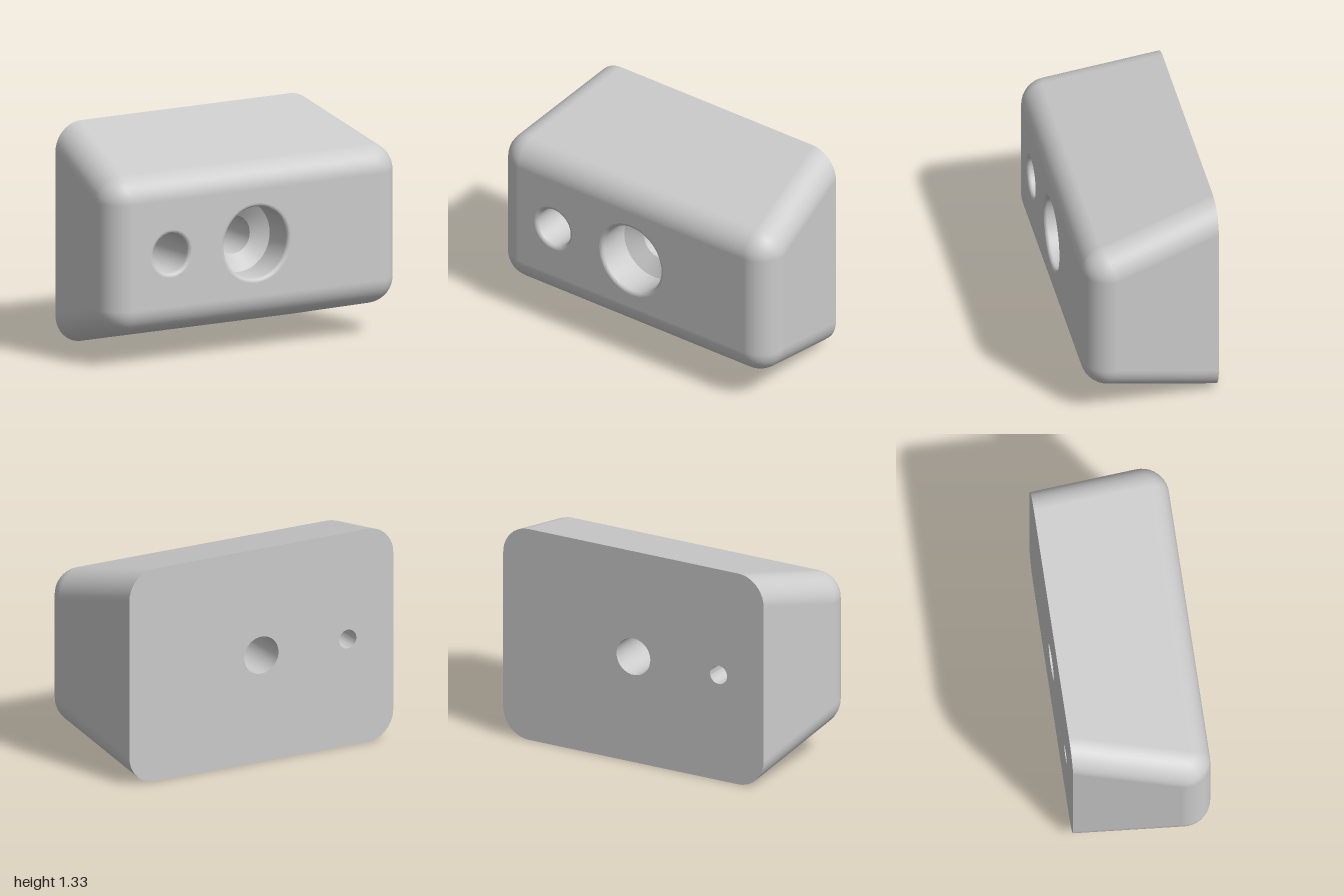
import * as THREE from 'three';
import { toCreasedNormals } from 'three/addons/utils/BufferGeometryUtils.js';

const DEPTH = 0.41;             // half depth
const MID = 0.663;              // height of the centre line
const R = 0.162;                // edge rounding radius
const CORNER = new THREE.Vector3(0.838, 0.32, DEPTH - R); // centre of the corner rounding
const deg = THREE.MathUtils.degToRad;

// x, radii of bore, counterbore and rounded mouth, depth of the counterbore and of its cone
const HOLES = [
  { name: 'largeHole', x: 0, bore: 0.115, wide: 0.215, mouth: 0.238, deep: 0.21, cone: 0.06 },
  { name: 'smallHole', x: -0.58, bore: 0.058, wide: 0.118, mouth: 0.142, deep: 0.4, cone: 0.036 },
];

function slerp(a, b, t) {
  const w = a.angleTo(b);
  if (w < 1e-6) return a.clone();
  return a.clone().multiplyScalar(Math.sin((1 - t) * w) / Math.sin(w))
    .addScaledVector(b, Math.sin(t * w) / Math.sin(w));
}

// Rings of points and normals from the front face, over the rounding, to the back edge
function makeRings() {
  const steps = 10;
  const front = new THREE.Vector3(0, 0, 1);
  const side = new THREE.Vector3(Math.cos(deg(10)), 0, -Math.sin(deg(10)));
  const top = new THREE.Vector3(0, Math.cos(deg(15)), Math.sin(deg(15)));
  const edge = side.clone().cross(top);
  const rings = [];
  for (let i = 0; i <= steps + 1; i++) {
    const ring = [];
    for (const [sx, sy] of [[1, 1], [-1, 1], [-1, -1], [1, -1]]) {
      for (let j = 0; j <= steps; j++) {
        const t = (sx * sy > 0 ? j : steps - j) / steps;
        const n = slerp(front, slerp(side, top, t), Math.min(i / steps, 1));
        const p = CORNER.clone().addScaledVector(n, R);
        if (i > steps) p.addScaledVector(edge, (-DEPTH - p.z) / edge.z);
        const mirror = new THREE.Vector3(sx, sy, 1);
        ring.push({ p: p.multiply(mirror), n: n.multiply(mirror) });
      }
    }
    rings.push(ring);
  }
  return rings;
}

function shellGeometry(rings) {
  const pos = [], nor = [], index = [];
  const count = rings[0].length;
  rings.forEach((ring, i) => ring.forEach(({ p, n }, j) => {
    pos.push(p.x, p.y, p.z);
    nor.push(n.x, n.y, n.z);
    if (i === rings.length - 1) return;
    const a = i * count + j, b = i * count + (j + 1) % count;
    index.push(a, a + count, b + count, a, b + count, b);
  }));
  const g = new THREE.BufferGeometry();
  g.setAttribute('position', new THREE.Float32BufferAttribute(pos, 3));
  g.setAttribute('normal', new THREE.Float32BufferAttribute(nor, 3));
  g.setIndex(index);
  return g;
}

// Flat face with the two holes cut out
function faceGeometry(outline, radiusKey) {
  const shape = new THREE.Shape(outline);
  for (const h of HOLES) {
    shape.holes.push(new THREE.Path().absarc(h.x, 0, h[radiusKey], 0, Math.PI * 2, true));
  }
  return new THREE.ShapeGeometry(shape, 24);
}

// Rounded mouth, counterbore, cone and through bore, facing inwards
function holeGeometry(h) {
  const lip = h.mouth - h.wide;
  const profile = [];
  for (let i = 0; i <= 5; i++) {
    const a = (i / 5) * Math.PI / 2;
    profile.push(new THREE.Vector2(h.mouth - lip * Math.sin(a), DEPTH - lip * (1 - Math.cos(a))));
  }
  profile.push(
    new THREE.Vector2(h.wide, DEPTH - h.deep),
    new THREE.Vector2(h.bore, DEPTH - h.deep - h.cone),
    new THREE.Vector2(h.bore, -DEPTH),
  );
  const g = new THREE.LatheGeometry(profile, 48).rotateX(Math.PI / 2);
  return toCreasedNormals(g, deg(35));
}

export function createModel() {
  const group = new THREE.Group();
  const material = new THREE.MeshStandardMaterial({ color: 0xcccccc });
  const add = (name, geometry, x, z) => {
    const mesh = new THREE.Mesh(geometry, material);
    mesh.name = name;
    mesh.position.set(x, MID, z);
    group.add(mesh);
    return mesh;
  };

  // Tapered body with rounded edges
  const rings = makeRings();
  add('body', shellGeometry(rings), 0, 0);

  // Front and back faces
  const { x, y } = CORNER;
  const frontOutline = [[x, y], [-x, y], [-x, -y], [x, -y]].map(c => new THREE.Vector2(...c));
  add('frontFace', faceGeometry(frontOutline, 'mouth'), 0, DEPTH);
  const backOutline = rings[rings.length - 1].map(({ p }) => new THREE.Vector2(p.x, p.y));
  const back = faceGeometry(backOutline, 'bore');
  const order = back.index.array;
  for (let i = 0; i < order.length; i += 3) [order[i], order[i + 1]] = [order[i + 1], order[i]];
  back.computeVertexNormals();
  add('backFace', back, 0, -DEPTH);

  // Stepped through holes
  for (const h of HOLES) add(h.name, holeGeometry(h), h.x, 0);
  return group;
}
